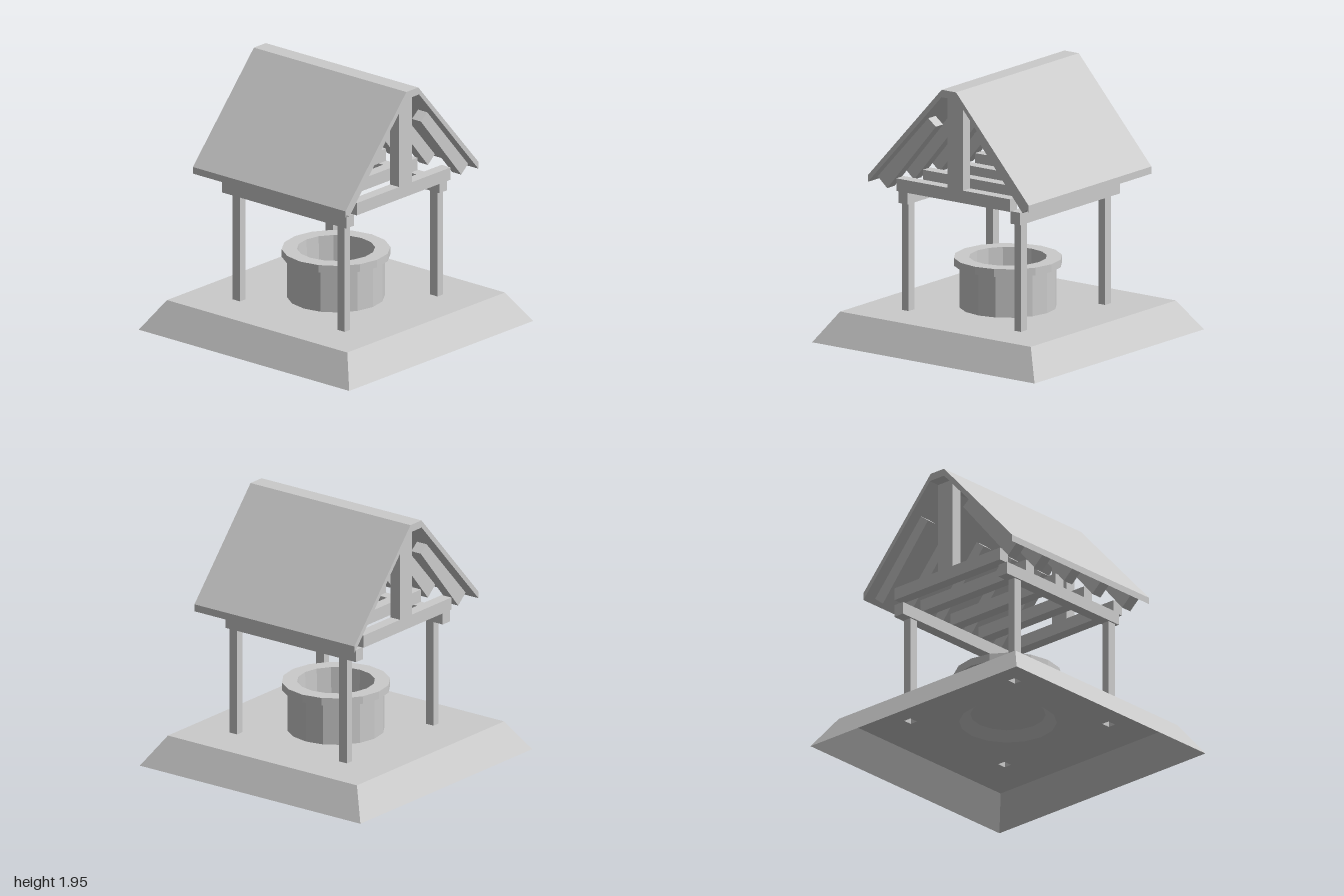
import * as THREE from 'three';

const SIDES = 16;
const material = new THREE.MeshStandardMaterial({ color: 0xcccccc, flatShading: true, side: THREE.DoubleSide });

function add(parent, name, geometry) {
  const mesh = new THREE.Mesh(geometry, material);
  mesh.name = name;
  parent.add(mesh);
  return mesh;
}

// Box given by its low and high corners
function box(parent, name, [x0, y0, z0], [x1, y1, z1]) {
  const mesh = add(parent, name, new THREE.BoxGeometry(x1 - x0, y1 - y0, z1 - z0));
  mesh.position.set((x0 + x1) / 2, (y0 + y1) / 2, (z0 + z1) / 2);
}

// Front outline (x, y) carried from z0 to z1
function prism(parent, name, outline, z0, z1) {
  const shape = new THREE.Shape(outline.map(([x, y]) => new THREE.Vector2(x, y)));
  const geometry = new THREE.ExtrudeGeometry(shape, { depth: z1 - z0, bevelEnabled: false });
  add(parent, name, geometry.translate(0, 0, z0));
}

// Four-sided open sleeve with square ends
function sleeve(bottomHalf, topHalf, height) {
  return new THREE.CylinderGeometry(topHalf * Math.SQRT2, bottomHalf * Math.SQRT2, height, 4, 1, true)
    .rotateY(Math.PI / 4).translate(0, height / 2, 0);
}

function lathe(parent, name, profile) {
  add(parent, name, new THREE.LatheGeometry(profile.map(([r, y]) => new THREE.Vector2(r, y)), SIDES));
}

export function createModel() {
  const model = new THREE.Group();
  model.name = 'coveredWell';

  const deck = 0.22;
  const postX = [-0.505, 0.505], postZ = [-0.48, 0.515];
  const halfX = 0.03, halfZ = 0.035;

  // Hollow base: sloping skirt and a deck pierced under the well and posts
  add(model, 'baseSkirt', sleeve(1, 0.857, deck));
  const h = 0.857;
  const deckShape = new THREE.Shape([[-h, -h], [h, -h], [h, h], [-h, h]].map(([x, y]) => new THREE.Vector2(x, y)));
  const ring = [];
  for (let i = 0; i < SIDES; i++) {
    const a = (i / SIDES) * Math.PI * 2;
    ring.push(new THREE.Vector2(0.35 * Math.cos(a), 0.35 * Math.sin(a)));
  }
  deckShape.holes.push(new THREE.Path(ring));
  for (const x of postX) for (const z of postZ) {
    deckShape.holes.push(new THREE.Path([[-1, -1], [-1, 1], [1, 1], [1, -1]]
      .map(([sx, sz]) => new THREE.Vector2(x + sx * halfX, -z + sz * halfZ))));
  }
  add(model, 'baseDeck', new THREE.ShapeGeometry(deckShape).rotateX(-Math.PI / 2).translate(0, deck, 0));

  // Well: wall, overhanging rim, inner shaft and floor
  const well = new THREE.Group();
  well.name = 'well';
  model.add(well);
  lathe(well, 'wellWall', [[0.27, 0.28], [0.35, deck], [0.35, 0.53]]);
  lathe(well, 'wellRim', [[0.35, 0.53], [0.39, 0.53], [0.39, 0.587], [0.28, 0.587]]);
  lathe(well, 'wellShaft', [[0.28, 0.587], [0.27, 0.28], [0, 0.28]]);

  // Posts, open at the foot, under two long beams
  for (const x of postX) {
    for (const z of postZ) {
      const post = add(model, 'post', sleeve(1, 1, 0.8).scale(halfX, 1, halfZ));
      post.position.set(x, deck, z);
    }
    box(model, 'sideBeam', [x - 0.042, 1.013, -0.607], [x + 0.042, 1.105, 0.577]);
  }

  // Roof frame: tie beams with a pair of rafters each
  const frame = new THREE.Group();
  frame.name = 'roofFrame';
  model.add(frame);
  const leftRafter = [[-0.68, 1.203], [-0.594, 1.128], [-0.157, 1.647], [-0.225, 1.7]];
  const rightRafter = [[0.697, 1.19], [0.622, 1.128], [0.184, 1.647], [0.252, 1.7]];
  for (const z of [-0.603, -0.328, -0.013, 0.287, 0.603]) {
    const z0 = z - 0.043, z1 = z + 0.043;
    box(frame, 'tieBeam', [-0.513, 1.12, z0], [0.508, 1.213, z1]);
    prism(frame, 'rafter', leftRafter, z0, z1);
    prism(frame, 'rafter', rightRafter, z0, z1);
  }

  // King post at each gable
  for (const z of [-0.603, 0.603]) box(frame, 'kingPost', [-0.053, 1.213, z - 0.043], [0.085, 1.9, z + 0.043]);

  // Roof sheet with a flat ridge
  prism(model, 'roof', [
    [-0.715, 1.22], [-0.715, 1.17], [-0.053, 1.895], [0.085, 1.895],
    [0.73, 1.16], [0.73, 1.213], [0.077, 1.95], [-0.052, 1.95],
  ], -0.735, 0.715);

  return model;
}
